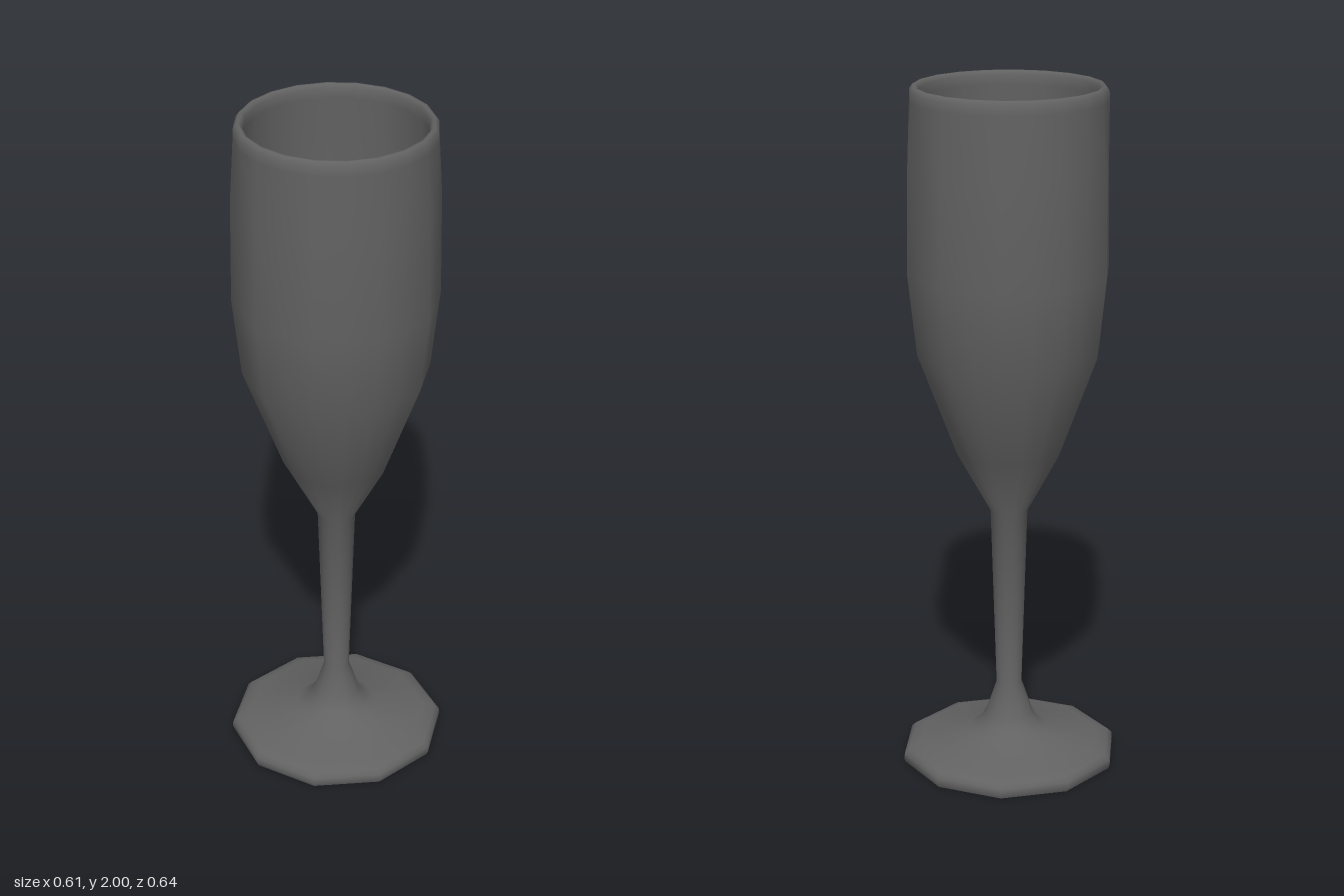
import * as THREE from 'three';
import { toCreasedNormals } from 'three/addons/utils/BufferGeometryUtils.js';

const SIDES = 10;
const FLAT = Math.cos(Math.PI / SIDES); // edge midpoint / corner radius of a decagon

// Turn a profile of [radius, y, roundness]: 0 gives a ten-sided ring, 1 a twenty-sided one.
function turned(name, profile, material) {
  const points = profile.map(([r, y]) => new THREE.Vector2(r, y));
  const geometry = new THREE.LatheGeometry(points, SIDES * 2);
  const pos = geometry.attributes.position;
  for (let i = 1; i <= SIDES * 2; i += 2) {
    profile.forEach(([, , round = 0], j) => {
      const k = i * profile.length + j;
      const s = FLAT + (1 - FLAT) * round;
      pos.setX(k, pos.getX(k) * s);
      pos.setZ(k, pos.getZ(k) * s);
    });
  }
  const mesh = new THREE.Mesh(toCreasedNormals(geometry, 1.1), material);
  mesh.name = name;
  return mesh;
}

export function createModel() {
  const group = new THREE.Group();
  group.name = 'fluteGlass';
  const material = new THREE.MeshStandardMaterial({ color: 0x626262 });

  const foot = [
    [0, 0], [0.315, 0], [0.32, 0.012], [0.318, 0.028], [0.305, 0.04], [0.27, 0.052],
    [0.12, 0.085], [0.088, 0.105], [0.07, 0.135],
  ];
  const stem = [[0.038, 0.23], [0.055, 0.77]];
  const bowlOutside = [
    [0.153, 0.95], [0.266, 1.25], [0.291, 1.48], [0.287, 1.78, 0.15], [0.276, 1.96, 1],
  ];
  const lip = [[0.275, 1.988, 1], [0.266, 2, 1], [0.258, 2, 1], [0.25, 1.988, 1]];
  const bowlInside = [[0.251, 1.96, 1], [0.262, 1.78, 0.15], [0.266, 1.48], [0.25, 1.35]];

  // Foot, stem and hollow bowl share one continuous smooth skin
  group.add(turned('glass', [...foot, ...stem, ...bowlOutside, ...lip, ...bowlInside], material));

  // Flat floor closing the inside of the bowl
  group.add(turned('bowlFloor', [[0.25, 1.35], [0, 1.35]], material));

  return group;
}
